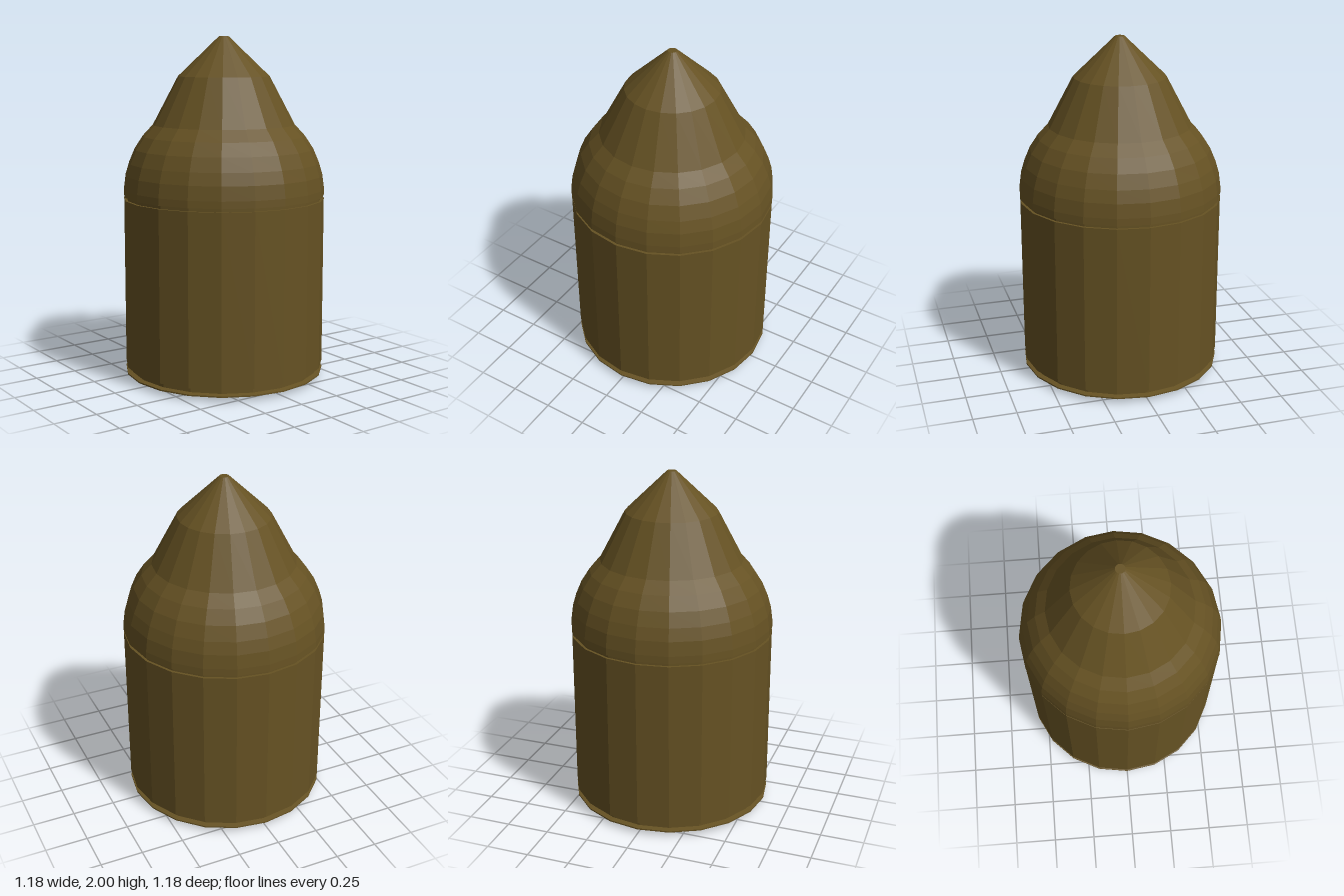
import * as THREE from 'three';

const SIDES = 20;

export function createModel() {
  const group = new THREE.Group();
  const material = new THREE.MeshStandardMaterial({ color: 0x665223, flatShading: true });

  // Turn a profile of [radius, height] pairs, listed from bottom to top
  const turn = (name, profile) => {
    const points = profile.map(([r, y]) => new THREE.Vector2(r, y));
    const mesh = new THREE.Mesh(new THREE.LatheGeometry(points, SIDES), material);
    mesh.name = name;
    group.add(mesh);
  };

  // Underside with shallow concentric grooves, ending at the rim
  const base = [[0, 0.02]];
  for (const r of [0.25, 0.34, 0.42, 0.48, 0.53]) {
    base.push([r, 0.02], [r, 0.026], [r + 0.015, 0.026], [r + 0.015, 0.02]);
  }
  base.push([0.56, 0.022], [0.59, 0.027], [0.59, 0.035], [0.56, 0.04]);
  turn('baseRim', base);

  // Small raised button under the base
  turn('primer', [[0, 0.005], [0.06, 0.005], [0.06, 0], [0.09, 0], [0.09, 0.02]]);

  // Extraction groove and straight wall
  turn('casing', [[0.56, 0.04], [0.56, 0.07], [0.59, 0.07], [0.59, 1.06], [0.575, 1.06]]);

  // Narrow seam between the casing and the nose
  turn('seam', [[0.575, 1.06], [0.575, 1.08]]);

  // Rounded shoulder
  turn('shoulder', [
    [0.575, 1.08], [0.592, 1.08], [0.59, 1.12], [0.579, 1.2], [0.558, 1.27],
    [0.524, 1.35], [0.475, 1.425], [0.415, 1.49],
  ]);

  // Tapered nose with a blunt tip
  turn('nose', [[0.415, 1.49], [0.267, 1.77], [0.027, 2], [0, 2]]);

  return group;
}
